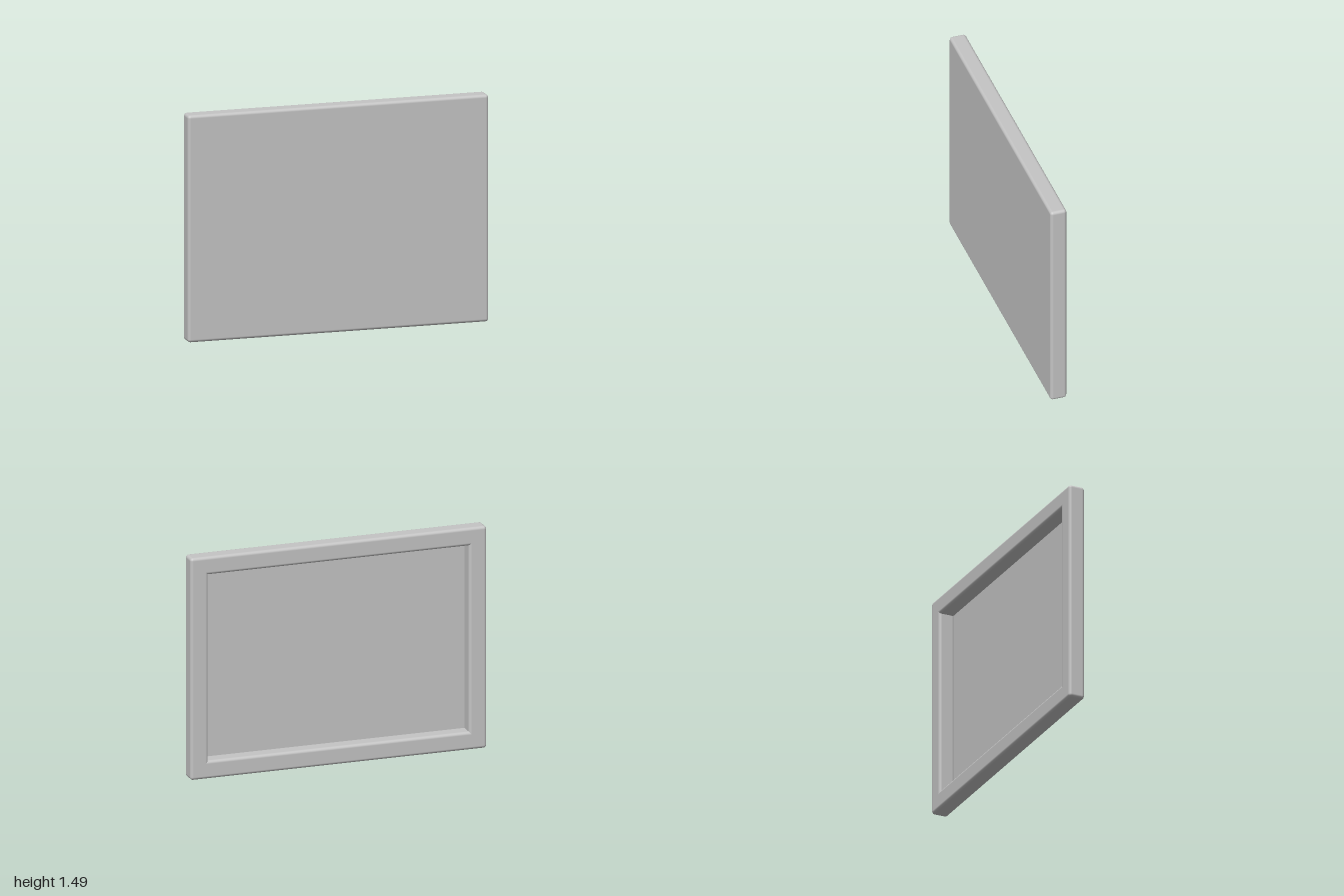
import * as THREE from 'three';
import { RoundedBoxGeometry } from 'three/addons/geometries/RoundedBoxGeometry.js';

const W = 2, H = 1.485, D = 0.11, BAR = 0.12, R = 0.02;

export function createModel() {
  const group = new THREE.Group();
  const grey = new THREE.MeshStandardMaterial({ color: 0xc4c4c4 });
  grey.name = 'grey';

  const add = (name, geometry, x, y, z) => {
    const mesh = new THREE.Mesh(geometry, grey);
    mesh.name = name;
    mesh.position.set(x, y, z);
    group.add(mesh);
  };

  // Rails run the full width; stiles are tucked into them
  const rail = new RoundedBoxGeometry(W, BAR, D, 3, R);
  add('bottomRail', rail, 0, BAR / 2, 0);
  add('topRail', rail, 0, H - BAR / 2, 0);
  const stile = new RoundedBoxGeometry(BAR, H - BAR, D, 3, R);
  add('leftStile', stile, W / 2 - BAR / 2, H / 2, 0);
  add('rightStile', stile, -W / 2 + BAR / 2, H / 2, 0);

  // Thin panel flush with the front, leaving a deep recess behind
  const t = 0.006;
  add('panel', new THREE.BoxGeometry(W - 2 * BAR + 0.05, H - 2 * BAR + 0.05, t), 0, H / 2, D / 2 - t / 2);
  return group;
}
